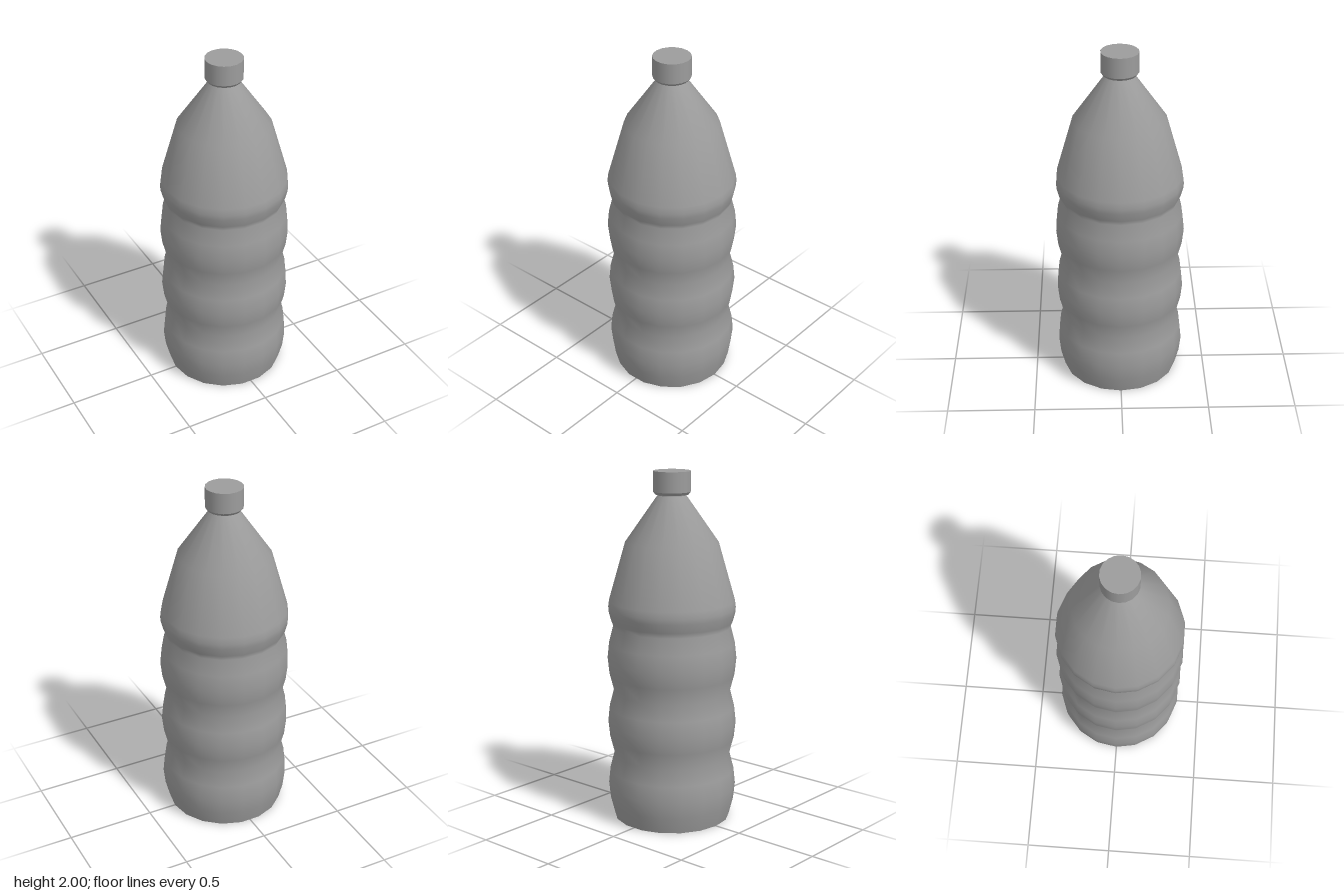
import * as THREE from 'three';

const SIDES = 18;

// Revolve [radius, height] pairs, with a corner of the polygon on +x
function revolve(name, pairs, material) {
  const points = pairs.map(([r, y]) => new THREE.Vector2(r, y));
  const mesh = new THREE.Mesh(new THREE.LatheGeometry(points, SIDES, Math.PI / 2), material);
  mesh.name = name;
  return mesh;
}

export function createModel() {
  const material = new THREE.MeshStandardMaterial({ color: 0x9c9c9c });
  const group = new THREE.Group();
  group.name = 'bottle';

  // Body: three bulging bands, then the shoulder tapering to the neck
  const bands = 3, steps = 4, bandHeight = 0.375;
  const body = [];
  for (let i = 0; i <= bands * steps; i++) {
    const bulge = Math.sin(Math.PI * (i % steps) / steps);
    body.push([0.334 + 0.034 * bulge, i * bandHeight / steps]);
  }
  body.push([0.346, 1.155], [0.359, 1.205], [0.361, 1.235], [0.356, 1.275], [0.262, 1.605], [0.08, 1.865]);
  group.add(revolve('body', body, material));

  // Flat base
  group.add(revolve('base', [[0, 0], [0.334, 0]], material));

  // Short neck hidden inside the cap
  group.add(revolve('neck', [[0.08, 1.865], [0.08, 1.89]], material));

  // Screw cap, in separate strips so its edges stay sharp
  const cap = new THREE.Group();
  cap.name = 'cap';
  cap.add(
    revolve('capUnderside', [[0.075, 1.87], [0.094, 1.87]], material),
    revolve('capBevel', [[0.094, 1.87], [0.105, 1.885]], material),
    revolve('capSide', [[0.105, 1.885], [0.105, 2]], material),
    revolve('capTop', [[0.105, 2], [0, 2]], material),
  );
  group.add(cap);
  return group;
}
